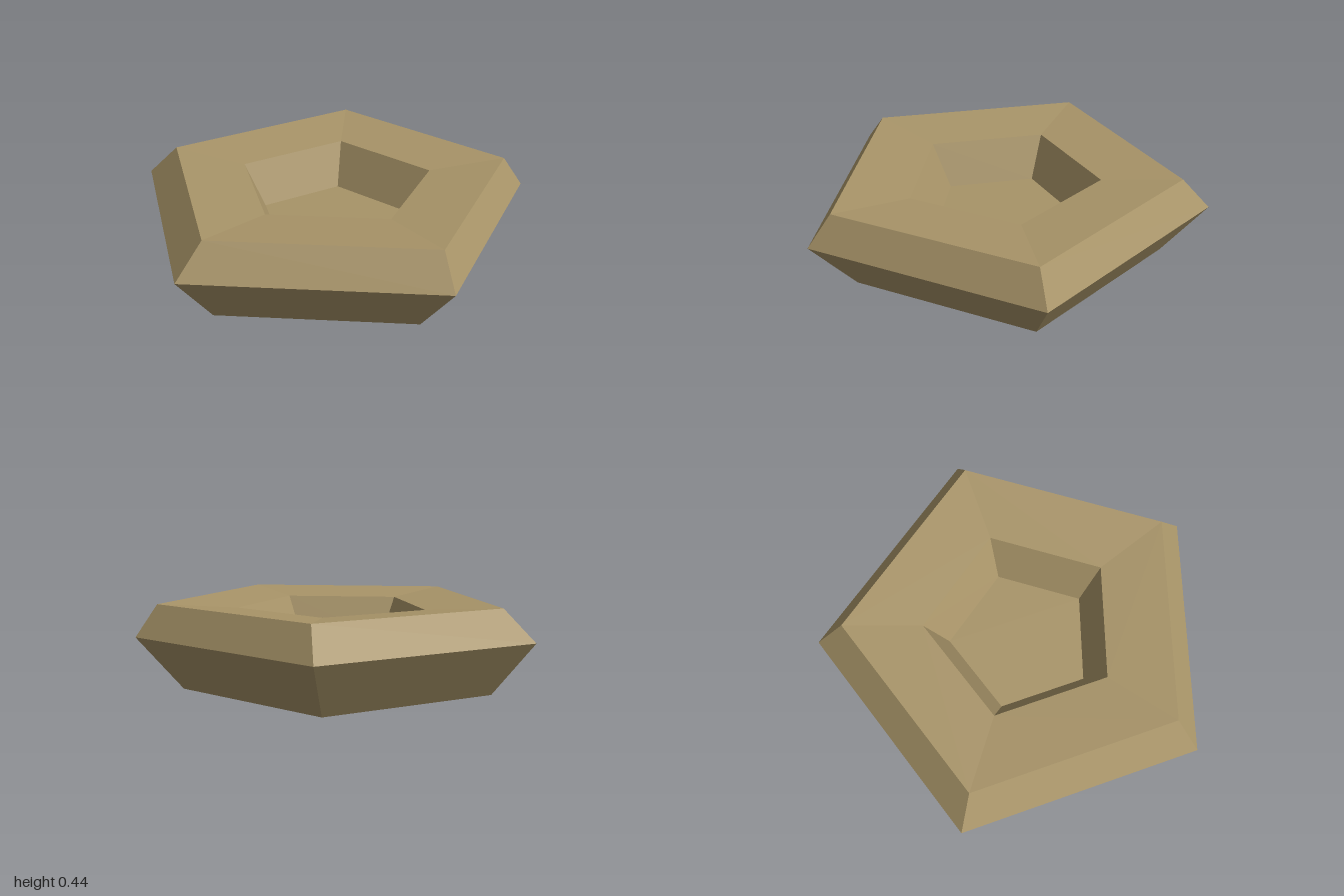
import * as THREE from 'three';

const SIDES = 5;
const TILT = THREE.MathUtils.degToRad(-5.34);

// Pentagon corners, clockwise seen from above, starting at the back
function ring(radius, y, cx, cz = 0.07) {
  return Array.from({ length: SIDES }, (_, i) => {
    const a = TILT + (i * 2 * Math.PI) / SIDES;
    return new THREE.Vector3(cx + radius * Math.sin(a), y, cz - radius * Math.cos(a));
  });
}

// Flat-shaded mesh from a list of triangles
function facets(name, triangles, material) {
  const geometry = new THREE.BufferGeometry().setFromPoints(triangles.flat());
  geometry.computeVertexNormals();
  const mesh = new THREE.Mesh(geometry, material);
  mesh.name = name;
  return mesh;
}

// Band of facets from a lower (or outer) ring to the next one
function band(name, from, to, material) {
  const triangles = [];
  for (let i = 0; i < SIDES; i++) {
    const j = (i + 1) % SIDES;
    triangles.push([from[i], to[j], from[j]], [from[i], to[i], to[j]]);
  }
  return facets(name, triangles, material);
}

// Flat pentagon closing a ring, facing up or down
function cap(name, r, up, material) {
  const triangles = [];
  for (let i = 1; i < SIDES - 1; i++) {
    triangles.push(up ? [r[0], r[i + 1], r[i]] : [r[0], r[i], r[i + 1]]);
  }
  return facets(name, triangles, material);
}

export function createModel() {
  const group = new THREE.Group();
  group.name = 'pentagonalDish';
  const stone = new THREE.MeshStandardMaterial({ color: 0xa89468, flatShading: true });
  stone.name = 'sandstone';

  // Cross-section rings from the base, over the rim, down into the hollow
  const base = ring(0.825, 0, 0.02);
  const waist = ring(1.054, 0.275, 0.028);
  const rim = ring(0.915, 0.44, 0.056);
  const lip = ring(0.507, 0.412, 0.055);
  const floor = ring(0.382, 0.195, 0.047);

  group.add(
    cap('underside', base, false, stone),
    band('lowerSides', base, waist, stone),
    band('upperBevel', waist, rim, stone),
    band('topFace', rim, lip, stone),
    band('hollowWalls', lip, floor, stone),
    cap('hollowFloor', floor, true, stone),
  );
  return group;
}
